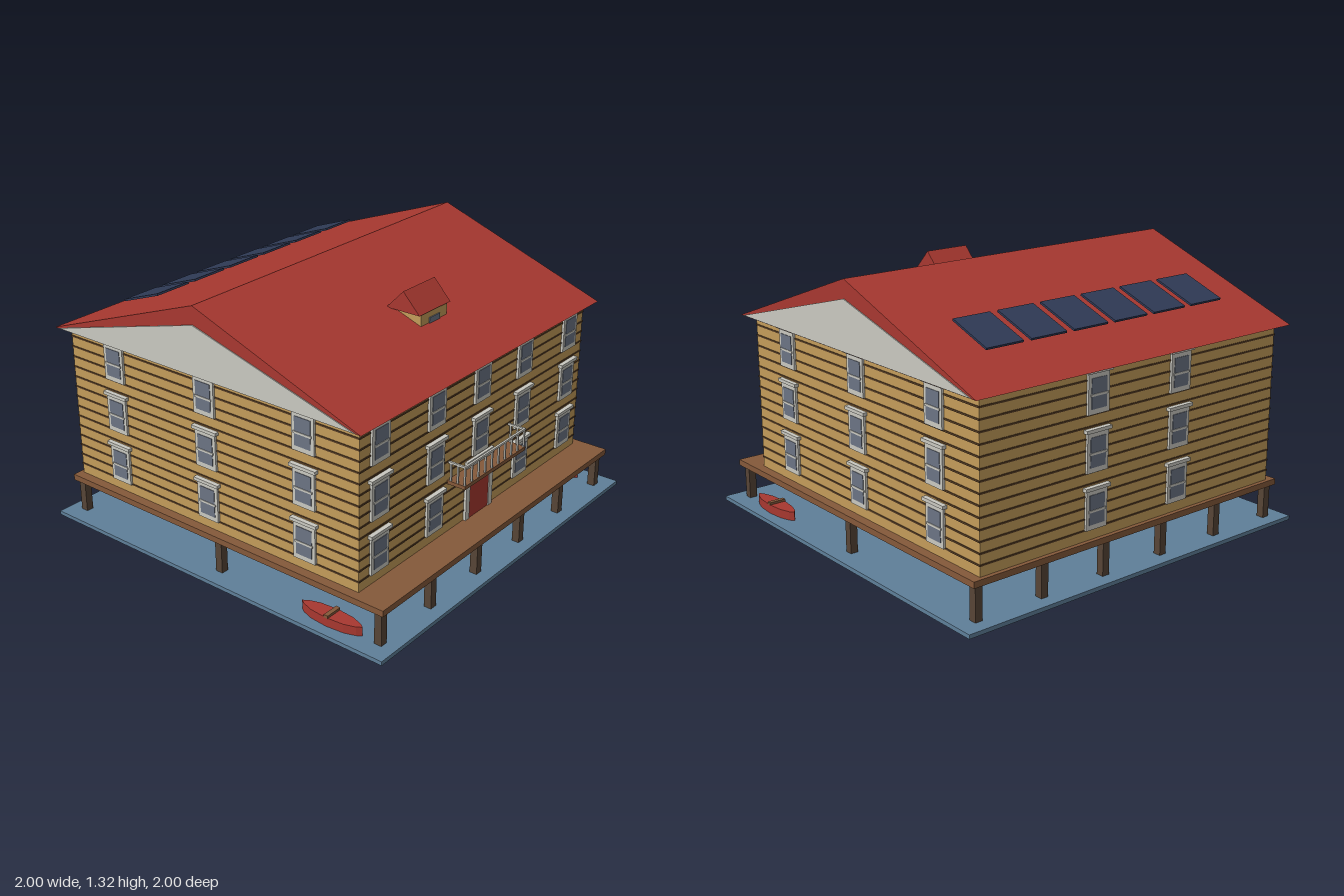
import * as THREE from 'three';

const mat = (name, color) => {
  const m = new THREE.MeshStandardMaterial({ color });
  m.name = name;
  return m;
};

export function createModel() {
  const red = mat('red paint', 0xa83830);
  const timber = mat('ochre timber', 0xc49c5a);
  const groove = mat('dark board gap', 0x553c24);
  const trim = mat('pale trim', 0xcac9c1);
  const glass = mat('grey glass', 0x6c7484);
  const deckWood = mat('deck wood', 0x85593a);
  const postWood = mat('post wood', 0x574536);
  const water = mat('water', 0x5f7f99);
  const panel = mat('solar panel', 0x2f3a56);

  const model = new THREE.Group();
  model.name = 'stiltHouse';

  const add = (parent, name, geometry, material, x = 0, y = 0, z = 0) => {
    const mesh = new THREE.Mesh(geometry, material);
    mesh.name = name;
    mesh.position.set(x, y, z);
    parent.add(mesh);
    return mesh;
  };
  const box = (parent, name, material, w, h, d, x, y, z) =>
    add(parent, name, new THREE.BoxGeometry(w, h, d), material, x, y, z);
  const group = (name, parent = model) => {
    const g = new THREE.Group();
    g.name = name;
    parent.add(g);
    return g;
  };
  // Prism with a [z, y] outline, extruded along x and centred on it
  const prism = (outline, width) => {
    const shape = new THREE.Shape(outline.map(([z, y]) => new THREE.Vector2(z, y)));
    return new THREE.ExtrudeGeometry(shape, { depth: width, bevelEnabled: false })
      .rotateY(-Math.PI / 2).translate(width / 2, 0, 0);
  };

  // Water, deck and stilts
  box(model, 'waterBase', water, 2, 0.02, 2, 0, 0.01, 0);
  box(model, 'deck', deckWood, 1.87, 0.03, 1.905, 0, 0.2, 0.002);
  const posts = group('posts');
  for (let i = 0; i < 6; i++)
    for (const z of [-0.915, 0, 0.915])
      box(posts, 'post', postWood, 0.038, 0.165, 0.038, -0.897 + i * 0.3588, 0.1025, z);

  // House body with dark gaps between the boards
  const W = 0.888, midZ = -0.07, D = 0.86;
  box(model, 'walls', timber, W * 2, 0.78, D * 2, 0, 0.605, midZ);
  const gaps = group('boardGaps');
  for (let i = 0; i < 14; i++)
    box(gaps, 'boardGap', groove, W * 2 + 0.006, 0.008, D * 2 + 0.006, 0, 0.266 + i * 0.052, midZ);

  // Windows: origin on the wall surface, at the bottom of the frame, facing +z
  const addWindow = (x, y, z, turn) => {
    const g = group('window');
    g.position.set(x, y, z);
    g.rotation.y = turn;
    box(g, 'frame', trim, 0.122, 0.185, 0.024, 0, 0.0925, 0);
    box(g, 'header', trim, 0.146, 0.016, 0.044, 0, 0.191, 0);
    box(g, 'upperPane', glass, 0.088, 0.07, 0.004, 0, 0.126, 0.0125);
    box(g, 'lowerPane', glass, 0.088, 0.058, 0.004, 0, 0.053, 0.0125);
    box(g, 'middleRail', trim, 0.1, 0.01, 0.01, 0, 0.0865, 0.012);
  };
  for (let row = 0; row < 3; row++) {
    const y = 0.265 + row * 0.262;
    for (const x of [-0.755, -0.353, 0, 0.353, 0.755])
      if (x !== 0 || row > 0) addWindow(x, y, midZ + D, 0);
    for (const x of [-0.25, 0.25]) addWindow(x, y, midZ - D, Math.PI);
    for (const z of [-0.64, -0.07, 0.5]) {
      addWindow(W, y, z, Math.PI / 2);
      addWindow(-W, y, z, -Math.PI / 2);
    }
  }

  // Front door
  const entry = group('frontDoor');
  for (const s of [-1, 1]) box(entry, 'doorJamb', trim, 0.03, 0.25, 0.024, s * 0.094, 0.34, 0.792);
  box(entry, 'doorHead', trim, 0.218, 0.055, 0.024, 0, 0.4875, 0.792);
  box(entry, 'doorLeaf', red, 0.16, 0.245, 0.02, 0, 0.3375, 0.79);

  // Balcony above the door
  const balcony = group('balcony');
  box(balcony, 'balconyFloor', deckWood, 0.5, 0.018, 0.1, 0, 0.474, 0.837);
  box(balcony, 'frontRail', trim, 0.498, 0.01, 0.01, 0, 0.574, 0.88);
  for (let i = 0; i < 10; i++)
    box(balcony, 'baluster', trim, 0.008, 0.095, 0.008, -0.244 + i * 0.0542, 0.524, 0.88);
  for (const s of [-1, 1]) {
    box(balcony, 'sideRail', trim, 0.01, 0.01, 0.09, s * 0.244, 0.574, 0.838);
    for (const z of [0.843, 0.806])
      box(balcony, 'sideBaluster', trim, 0.008, 0.095, 0.008, s * 0.244, 0.524, z);
  }

  // Solid gable roof and pale gable ends
  add(model, 'roof', prism([[0.84, 0.99], [midZ, 1.32], [-0.98, 0.99]], 1.884), red);
  for (const s of [-1, 1])
    add(model, 'gableEnd', prism([[0.81, 0.993], [midZ, 1.232], [-0.95, 0.993]], 0.006), trim, s * 0.944);

  // Dormer on the front slope
  const dormer = group('dormer');
  box(dormer, 'dormerWall', timber, 0.2, 0.08, 0.16, 0, 1.127, 0.44);
  add(dormer, 'dormerRoof', prism([[0.525, 1.163], [0.433, 1.26], [0.34, 1.163]], 0.24), red);
  box(dormer, 'dormerWindow', glass, 0.08, 0.03, 0.006, 0, 1.117, 0.522);

  // Solar panels floating just above the back slope
  const slope = Math.atan2(0.33, 0.91);
  const panels = group('solarPanels');
  for (let i = 0; i < 6; i++)
    box(panels, 'solarPanel', panel, 0.2, 0.01, 0.238, (i - 2.5) * 0.242, 1.149, -0.638).rotation.x = -slope;

  // Pointed rowing boats at both front corners
  const half = [[0.016, 0.145], [0.034, 0.09], [0.042, 0]];
  const hullOutline = [[0, 0.168], ...half, ...half.slice(0, 2).reverse().map(([x, z]) => [x, -z]), [0, -0.168]];
  const full = [...hullOutline, ...hullOutline.slice(1, -1).reverse().map(([x, z]) => [-x, z])];
  const hullGeometry = new THREE.ExtrudeGeometry(
    new THREE.Shape(full.map(([x, z]) => new THREE.Vector2(x, z))), { depth: 0.044, bevelEnabled: false },
  ).rotateX(-Math.PI / 2);
  for (const s of [-1, 1]) {
    const boat = group('boat');
    boat.position.set(s * 0.904, 0.02, 0.657);
    add(boat, 'hull', hullGeometry, red);
    box(boat, 'bench', deckWood, 0.086, 0.014, 0.022, 0, 0.049, 0);
  }
  return model;
}
